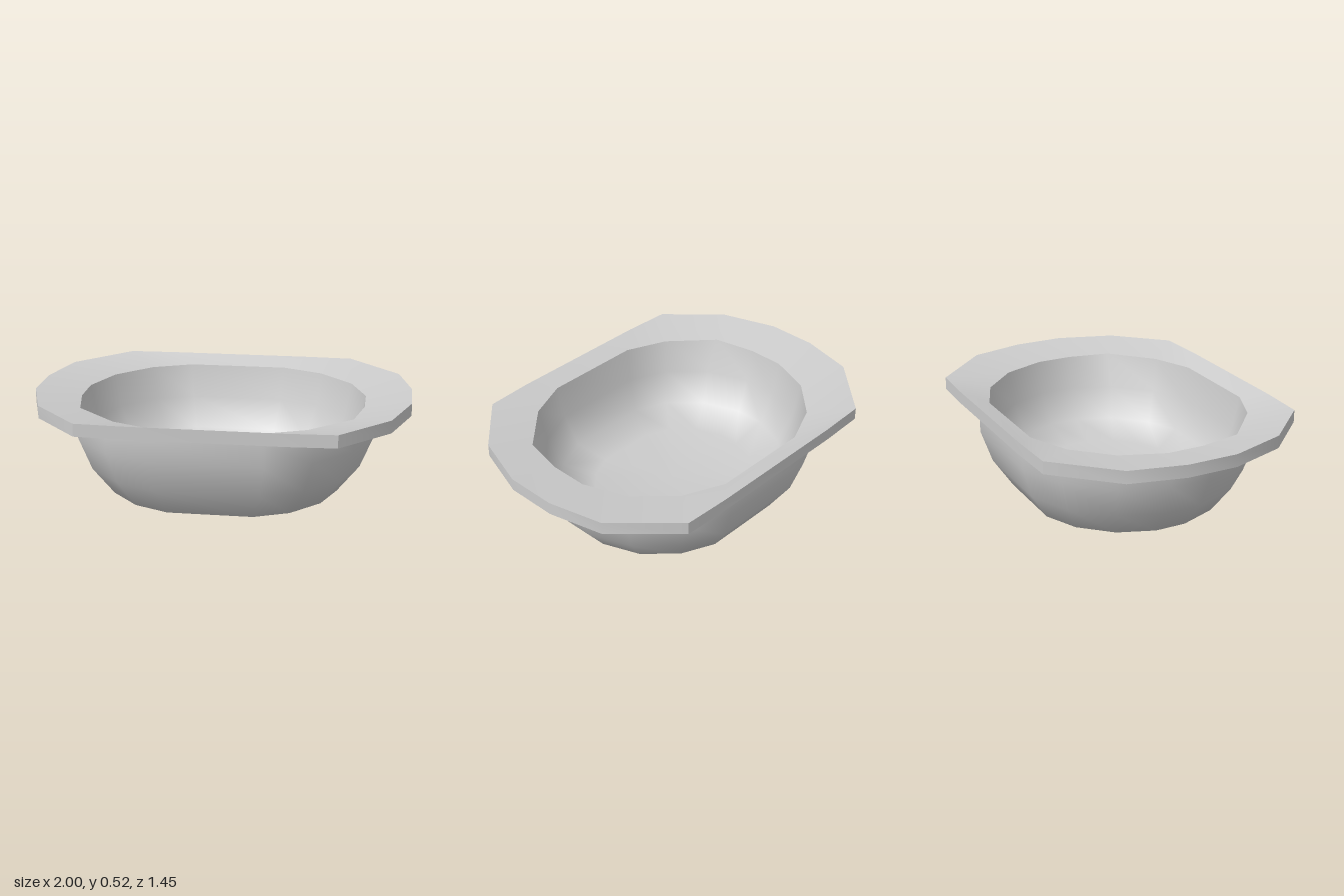
import * as THREE from 'three';
import { toCreasedNormals } from 'three/addons/utils/BufferGeometryUtils.js';

// Mirror a half outline (back to front on +x) into a closed 16-point loop
const mirror = (half) => [...half, ...half.slice().reverse().map(([x, z]) => [-x, z])];

const opening = mirror([[0.27, -0.61], [0.49, -0.515], [0.67, -0.33], [0.757, -0.1],
  [0.757, 0.1], [0.71, 0.325], [0.49, 0.53], [0.27, 0.622]]);
const bowlOutline = mirror([[0.27, -0.61], [0.49, -0.515], [0.67, -0.33], [0.76, -0.1],
  [0.76, 0.1], [0.67, 0.335], [0.49, 0.525], [0.27, 0.62]]);
const rimOutline = mirror([[0.4, -0.724], [0.65, -0.715], [0.93, -0.42], [1, -0.13],
  [1, 0.14], [0.9, 0.445], [0.65, 0.712], [0.4, 0.724]]);

// One horizontal cross-section: an outline scaled in x and z at height y
const ring = (outline, y, sx = 1, sz = sx) => outline.map(([x, z]) => [x * sx, y, z * sz]);

// Skin a series of rings with quads
function loft(rings) {
  const n = rings[0].length;
  const index = [];
  for (let r = 0; r < rings.length - 1; r++) {
    for (let i = 0; i < n; i++) {
      const j = (i + 1) % n;
      const a = r * n + i, b = r * n + j, c = a + n, d = b + n;
      index.push(a, b, c, b, d, c);
    }
  }
  const geometry = new THREE.BufferGeometry();
  geometry.setAttribute('position', new THREE.Float32BufferAttribute(rings.flat(2), 3));
  geometry.setIndex(index);
  geometry.computeVertexNormals();
  return geometry;
}

export function createModel() {
  const group = new THREE.Group();
  group.name = 'basin';
  const material = new THREE.MeshStandardMaterial({ color: 0xcccccc, side: THREE.DoubleSide });
  const add = (name, geometry) => {
    const mesh = new THREE.Mesh(geometry, material);
    mesh.name = name;
    group.add(mesh);
  };

  // Inside of the bowl, from the floor's centre up to the opening
  add('bowlInside', loft([
    ring(bowlOutline, 0.06, 0.01),
    ring(bowlOutline, 0.06, 0.6),
    ring(bowlOutline, 0.13, 0.84),
    ring(bowlOutline, 0.3, 0.95),
    ring(opening, 0.482),
  ]));

  // Rim: top dipping towards the opening, outer edge and sloped underside
  add('rim', toCreasedNormals(loft([
    ring(opening, 0.482),
    ring(rimOutline, 0.522),
    ring(rimOutline, 0.455),
    ring(bowlOutline, 0.44, 1.065, 1.085),
  ]), 0.6));

  // Outside of the bowl, from under the rim down to the flat base
  add('bowlOutside', loft([
    ring(bowlOutline, 0.44, 1.065, 1.085),
    ring(bowlOutline, 0.32, 1.065, 1.085),
    ring(bowlOutline, 0.15, 0.975, 0.995),
    ring(bowlOutline, 0, 0.82, 0.835),
    ring(bowlOutline, 0, 0.5),
    ring(bowlOutline, 0, 0.01),
  ]));

  // Small centre caps closing the floor and the base
  add('floorCentre', new THREE.CircleGeometry(0.008, 16).rotateX(-Math.PI / 2).translate(0, 0.06, 0));
  add('baseCentre', new THREE.CircleGeometry(0.008, 16).rotateX(Math.PI / 2));

  return group;
}
